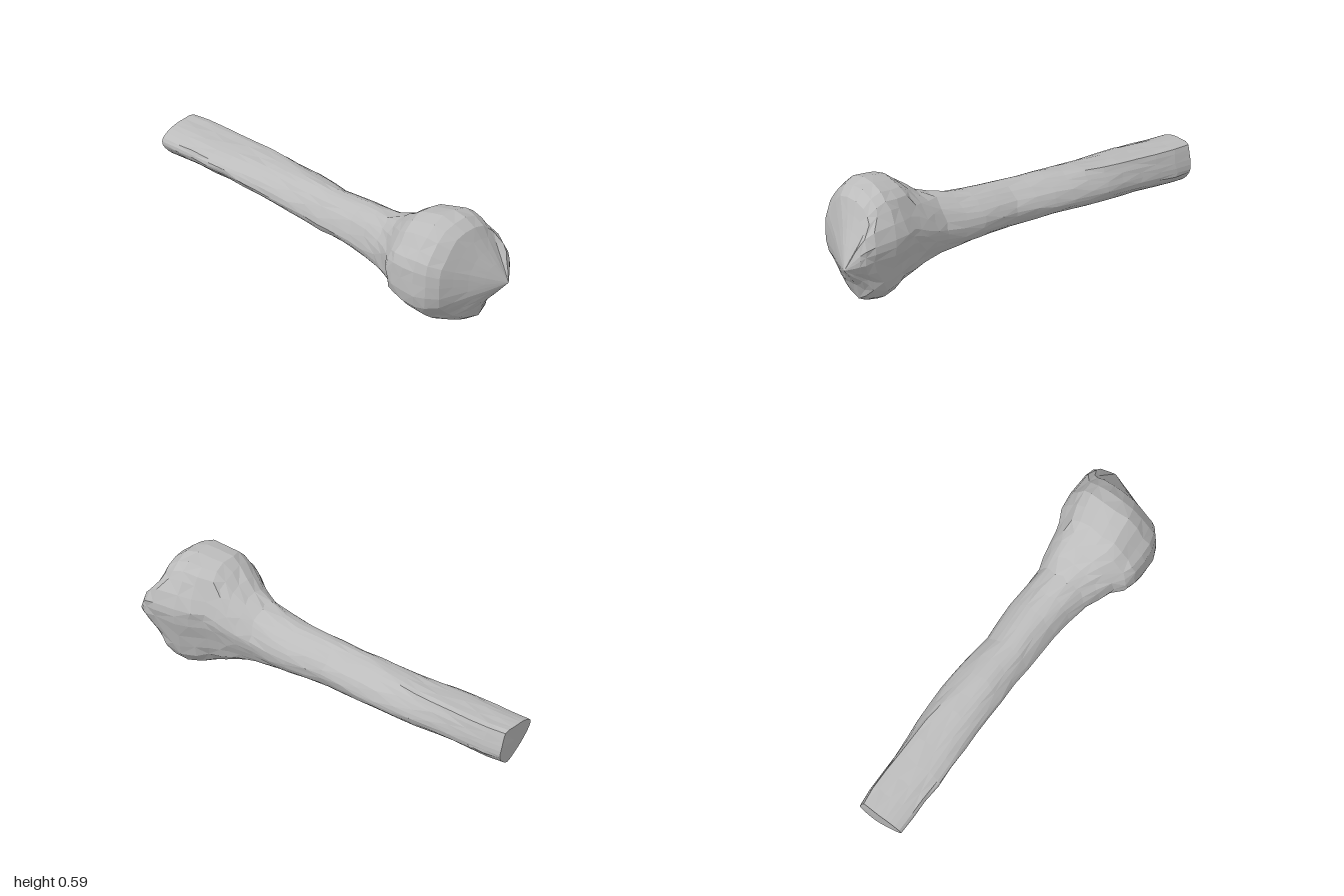
import * as THREE from 'three';

const SIDES = 28;

// Cross-section outlines (x, y), anticlockwise from the +x side
const END = [[.165, .172], [.158, .215], [.145, .255], [.13, .29], [.07, .29], [.01, .285], [-.04, .273], [-.086, .248],
  [-.09, .22], [-.06, .178], [-.02, .142], [.03, .11], [.075, .09], [.108, .102], [.137, .125], [.156, .148]];
const MIDDLE = [[.152, .245], [.135, .29], [.105, .322], [.065, .348], [.02, .355], [-.015, .345], [-.045, .318],
  [-.07, .275], [-.085, .225], [-.067, .187], [-.035, .162], [0, .15], [.043, .145], [.09, .152], [.124, .175], [.145, .21]];
const HEAD = [[.237, .37], [.185, .485], [.14, .55], [.025, .585], [-.1, .57], [-.18, .475], [-.23, .4], [-.24, .29],
  [-.225, .175], [-.155, .1], [-.09, .055], [.01, .012], [.07, 0], [.165, .07], [.195, .17], [.232, .3]];

// z, xMin, xMax, yMin, yMax along the bone
const STATIONS = [
  [-.97, -.09, .15, .09, .29], [-.9, -.09, .16, .097, .295], [-.8, -.09, .16, .105, .3], [-.7, -.095, .16, .113, .308],
  [-.6, -.09, .165, .12, .315], [-.5, -.087, .175, .128, .322], [-.4, -.085, .18, .135, .33], [-.3, -.085, .18, .145, .338],
  [-.2, -.085, .175, .15, .345], [-.1, -.082, .165, .147, .35], [0, -.085, .15, .145, .355], [.1, -.088, .155, .147, .365],
  [.2, -.095, .162, .145, .375], [.3, -.105, .155, .13, .39], [.4, -.125, .15, .115, .41], [.47, -.15, .165, .102, .44],
  [.53, -.18, .175, .08, .482], [.58, -.222, .183, .055, .523], [.63, -.236, .195, .037, .558], [.69, -.24, .222, .016, .573],
  [.76, -.237, .236, .0, .585]];

// Front of the head: shrink towards the tip, z on most sides, z on the fuller right cheek
const FRONT = [[.95, .82, .88], [.83, .868, .925], [.66, .892, .95], [.48, .92, .965], [.28, .954, .98]];
const TIP = [.15, .245, 1];

// Smooth an outline and scale it to a unit box
function unitOutline(points) {
  const curve = new THREE.CatmullRomCurve3(points.map(([x, y]) => new THREE.Vector3(x, y, 0)), true, 'centripetal');
  const out = Array.from({ length: SIDES }, (_, j) => curve.getPoint(j / SIDES));
  const box = new THREE.Box3().setFromPoints(out);
  const size = box.getSize(new THREE.Vector3());
  return out.map(p => [(p.x - box.min.x) / size.x, (p.y - box.min.y) / size.y]);
}

function createBoneGeometry() {
  const [end, middle, head] = [END, MIDDLE, HEAD].map(unitOutline);
  const rings = [];
  let seed = 7;
  const jitter = a => {
    seed = (seed * 16807) % 2147483647;
    return (seed / 2147483647 - .5) * a;
  };
  const { smoothstep, lerp } = THREE.MathUtils;

  // Shaft and flare, blending between the three outlines
  for (const [z, x0, x1, y0, y1] of STATIONS) {
    const toMiddle = smoothstep(z, -.75, -.1), toHead = smoothstep(z, .2, .65);
    rings.push(end.map((e, j) => {
      const [u, v] = [0, 1].map(k => lerp(lerp(e[k], middle[j][k], toMiddle), head[j][k], toHead));
      const x = lerp(x0, x1, u), y = lerp(y0, y1, v);
      // slanted cut at the broken end
      if (z === -.97) return [x, y, -1 + .15 * (.29 - y) + .06 * Math.max(0, x - .03) * smoothstep(y, .2, .29)];
      return [x + jitter(.005), y + jitter(.005), z + jitter(.02)];
    }));
  }

  // Front of the head, closing on an off-centre tip with a chipped lower corner
  const rim = rings[rings.length - 1];
  for (const [s, z, zCheek] of FRONT) {
    rings.push(rim.map(p => {
      const x = lerp(TIP[0], p[0], s), y = lerp(TIP[1], p[1], s);
      const cheek = smoothstep(p[0], .15, .22) * smoothstep(p[1], .12, .28) * (1 - smoothstep(p[1], .41, .56));
      const chip = .02 * smoothstep(x, .06, .11) * (1 - smoothstep(Math.abs(y - .13), .02, .08));
      const round = .03 * s * smoothstep(-x, -.03, .15) * (1 - smoothstep(y, .08, .28));
      return [x + jitter(.008 * s), y + jitter(.008 * s), lerp(z, zCheek, cheek) - chip - round];
    }));
  }

  const positions = rings.flat(2), index = [];
  const n = rings.length, back = n * SIDES, front = back + 1;
  positions.push(.04, .2, -.986, ...TIP);
  for (let j = 0; j < SIDES; j++) {
    const k = (j + 1) % SIDES, last = (n - 1) * SIDES;
    for (let i = 0; i < n - 1; i++) {
      const a = i * SIDES + j, b = i * SIDES + k, c = b + SIDES, d = a + SIDES;
      if ((i + j) % 2) index.push(a, b, c, a, c, d);
      else index.push(a, b, d, b, c, d);
    }
    index.push(back, k, j, front, last + j, last + k);
  }
  const indexed = new THREE.BufferGeometry();
  indexed.setAttribute('position', new THREE.Float32BufferAttribute(positions, 3));
  indexed.setIndex(index);
  const geometry = indexed.toNonIndexed(); // faceted normals
  geometry.computeVertexNormals();
  return geometry;
}

export function createModel() {
  const group = new THREE.Group();
  group.name = 'boneFragment';
  const boneGrey = new THREE.MeshStandardMaterial({ color: 0xbcbcbc });
  boneGrey.name = 'boneGrey';
  const bone = new THREE.Mesh(createBoneGeometry(), boneGrey);
  bone.name = 'shaftAndHead';
  group.add(bone);
  return group;
}
